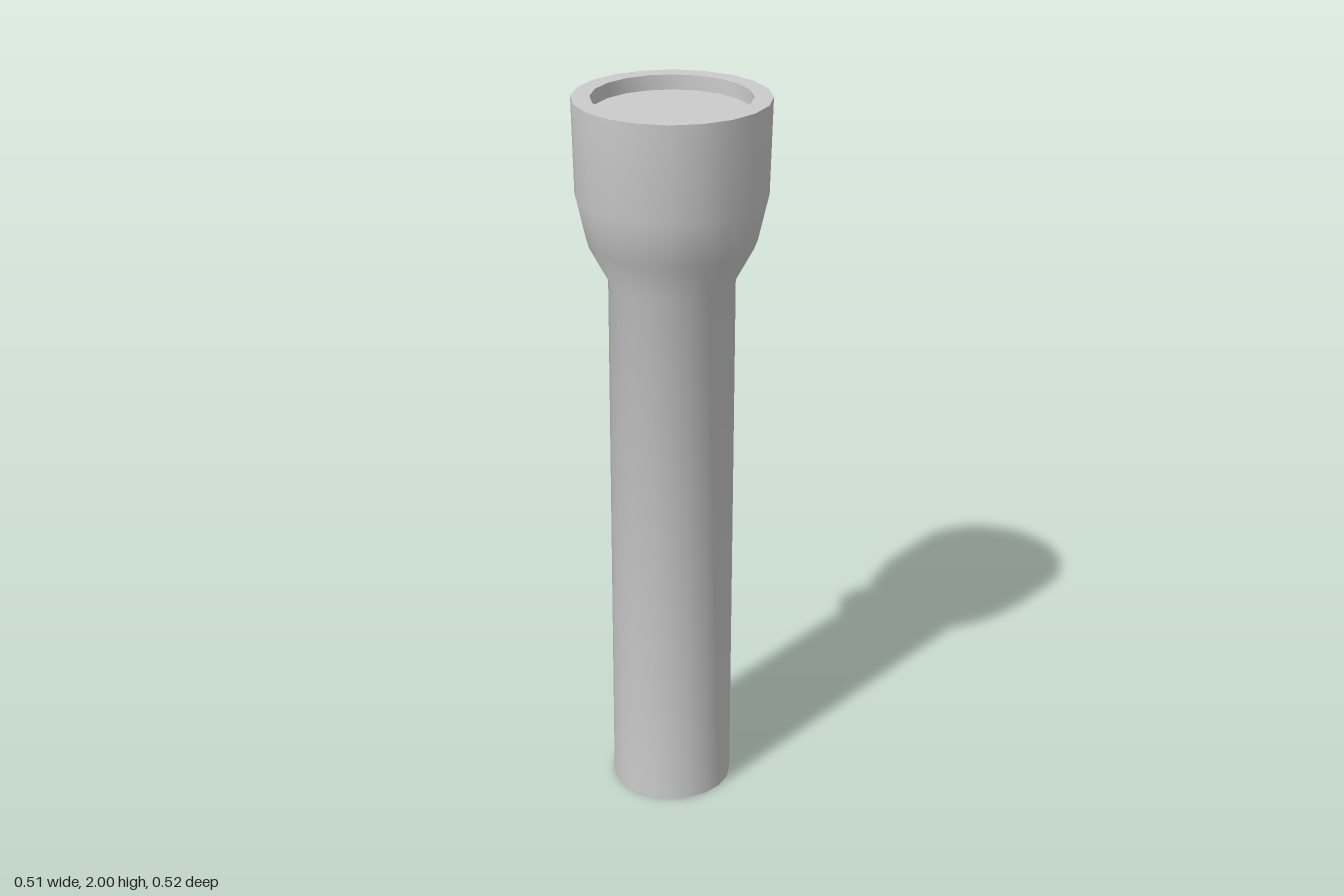
import * as THREE from 'three';
import { toCreasedNormals } from 'three/addons/utils/BufferGeometryUtils.js';

const SIDES = 20;
const material = new THREE.MeshStandardMaterial({ color: 0xcccccc });

// Turned part from [radius, height] pairs, smooth except at sharp corners
function turned(name, profile, sides) {
  const points = profile.map(([r, y]) => new THREE.Vector2(r, y));
  const geometry = toCreasedNormals(new THREE.LatheGeometry(points, sides), 0.75);
  const mesh = new THREE.Mesh(geometry, material);
  mesh.name = name;
  return mesh;
}

export function createModel() {
  const group = new THREE.Group();
  group.name = 'flashlight';

  // Handle tube flaring into the head, then over the rim into the recess
  const body = turned('bodyAndHead', [
    [0, 0], [0.167, 0], [0.167, 1.515],
    [0.223, 1.62], [0.251, 1.745], [0.257, 2],
    [0.208, 2], [0.208, 1.96],
  ], SIDES);

  // Flat lens set just below the rim
  const lens = new THREE.Mesh(new THREE.CircleGeometry(0.208, SIDES), material);
  lens.name = 'lens';
  lens.rotation.x = -Math.PI / 2;
  lens.position.y = 1.96;

  // Rounded switch button on the back of the handle
  const button = turned('switchButton', [
    [0, 0.1], [0.103, 0.1], [0.103, 0.205], [0.098, 0.232],
    [0.077, 0.252], [0.041, 0.262], [0, 0.262],
  ], 20);
  button.rotation.x = -Math.PI / 2;
  button.position.y = 1.233;

  group.add(body, lens, button);
  group.position.z = 0.002;
  return group;
}
